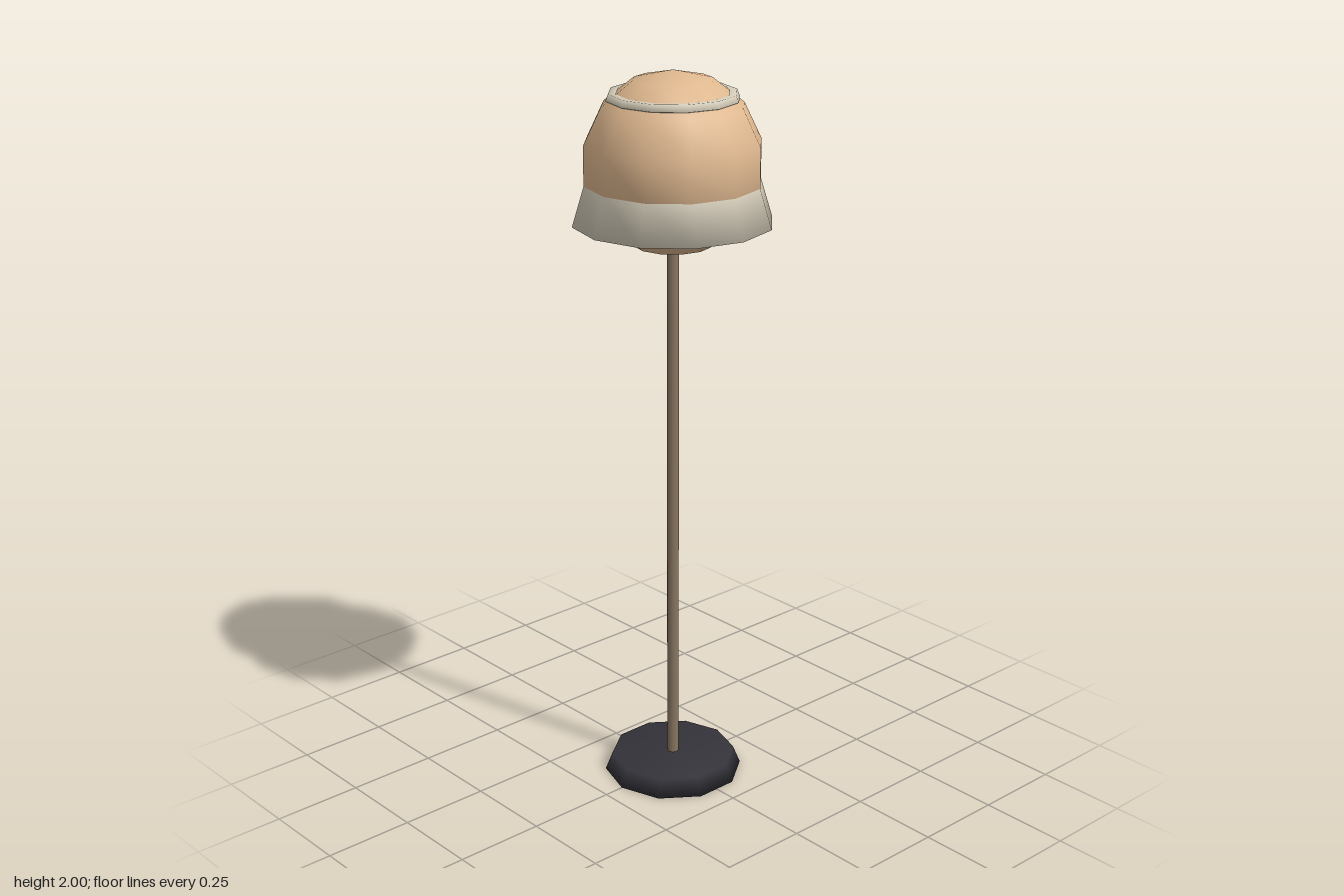
import * as THREE from 'three';

const material = (name, color) => {
  const m = new THREE.MeshStandardMaterial({ color });
  m.name = name;
  return m;
};

export function createModel() {
  const lamp = new THREE.Group();
  lamp.name = 'floorLamp';

  const glass = material('warm glass', 0xdfb88f);
  const trim = material('pale trim', 0xd6cebb);
  const metal = material('bronze pole', 0x8a7862);
  const dark = material('dark base', 0x34333a);

  const add = (name, geometry, mat) => {
    const mesh = new THREE.Mesh(geometry, mat);
    mesh.name = name;
    lamp.add(mesh);
    return mesh;
  };
  // Profiles run from bottom to top as [radius, height]
  const turned = (profile, sides) =>
    new THREE.LatheGeometry(profile.map(([r, y]) => new THREE.Vector2(r, y)), sides);

  // Ten-sided foot with bevelled rim, corners on the x axis
  add('base', turned([[0, 0], [0.193, 0], [0.173, 0.05], [0, 0.05]], 10), dark)
    .rotation.y = Math.PI / 2;

  // Slim upright
  add('pole', new THREE.CylinderGeometry(0.016, 0.016, 1.5, 8), metal)
    .position.y = 0.79;

  // Faceted globe
  add('globe', new THREE.SphereGeometry(0.24, 12, 7), glass)
    .position.y = 1.76;

  // Flared skirt, closed underneath up to the globe
  add('skirt', turned([[0.18, 1.607], [0.266, 1.603], [0.233, 1.712]], 12), trim);

  // Thin band around the crown
  add('crownBand',
    turned([[0.165, 1.922], [0.175, 1.926], [0.168, 1.944], [0.148, 1.943]], 12), trim);

  return lamp;
}
